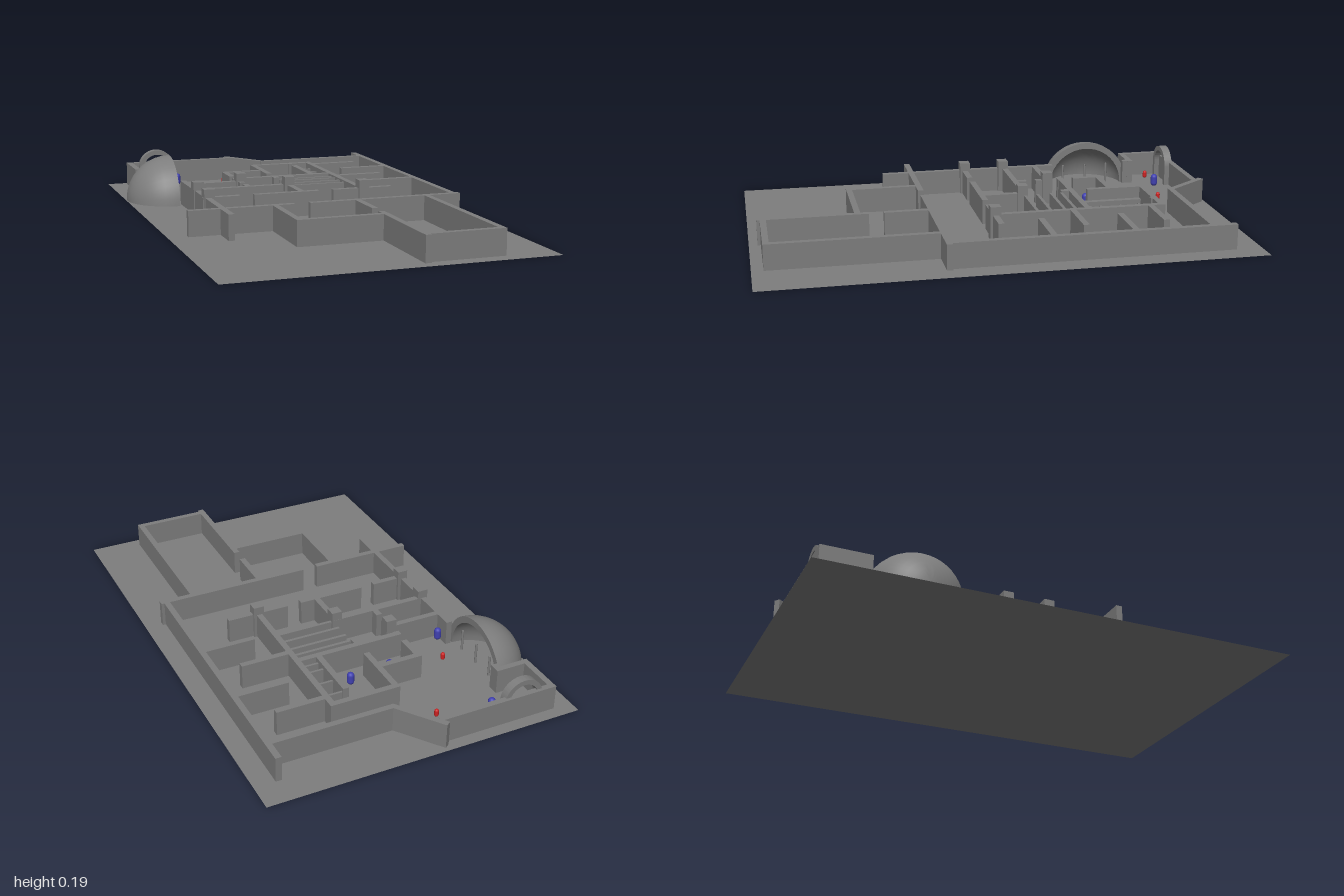
import * as THREE from 'three';
import { toCreasedNormals } from 'three/addons/utils/BufferGeometryUtils.js';

const GREY = new THREE.MeshStandardMaterial({ color: 0x7d7d7d });
const GREY_DOUBLE = new THREE.MeshStandardMaterial({ color: 0x7d7d7d, side: THREE.DoubleSide });
const WHITE = new THREE.MeshStandardMaterial({ color: 0xf0f0f0 });
const RED = new THREE.MeshStandardMaterial({ color: 0xcc2222 });
const BLUE = new THREE.MeshStandardMaterial({ color: 0x4040b0 });
const BASE = 0.003, WALL_H = 0.107, T = 0.025;

// Walls along x: [z, x start, x end]
const WALLS_X = [
  [-0.94, -0.573, -0.07], [-0.76, -0.573, -0.425], [-0.795, 0.04, 0.557],
  [-0.685, -0.037, 0.257], [-0.635, 0.245, 0.457], [-0.48, 0.335, 0.557],
  [-0.305, 0.245, 0.457], [-0.15, 0.335, 0.557], [-0.54, -0.215, -0.025],
  [-0.37, -0.215, 0.245], [-0.305, -0.435, -0.2], [-0.165, -0.435, -0.025],
  [0.02, -0.455, -0.295], [0.02, -0.235, 0.05], [0.02, 0.112, 0.377],
  [0.262, -0.577, -0.14], [0.262, -0.075, 0.583], [0.562, -0.232, 0.13], [0.94, 0.13, 0.446],
];
// Walls along z: [x, z start, z end]
const WALLS_Z = [
  [-0.561, -0.952, -0.748], [-0.438, -0.772, -0.725], [-0.435, -0.39, 0.39],
  [0.558, -0.89, 0.272], [-0.025, -0.697, -0.44], [-0.025, -0.38, -0.325],
  [-0.025, -0.178, 0.02], [0.245, -0.697, 0.02], [-0.203, -0.55, -0.425],
  [-0.203, -0.38, -0.355], [-0.203, -0.3, -0.255], [-0.203, -0.215, -0.165],
  [0.155, -0.62, -0.37], [0.155, -0.685, -0.665],
  [-0.221, 0.262, 0.574], [0.13, 0.262, 0.455], [0.13, 0.517, 0.965], [0.434, 0.262, 0.952],
];

function add(group, name, geometry, x, y, z, material = GREY) {
  const mesh = new THREE.Mesh(geometry, material);
  mesh.name = name;
  mesh.position.set(x, y, z);
  group.add(mesh);
  return mesh;
}

// Box just above the ground sheet, with its top at height h
function block(group, name, x, z, w, h, d) {
  return add(group, name, new THREE.BoxGeometry(w, h - BASE, d), x, (h + BASE) / 2, z);
}

function arcPoints(r, from, to, n) {
  return Array.from({ length: n + 1 }, (_, i) => {
    const a = from + (to - from) * i / n;
    return new THREE.Vector2(r * Math.cos(a), r * Math.sin(a));
  });
}

export function createModel() {
  const model = new THREE.Group();
  model.name = 'floorPlan';
  const sheet = new THREE.PlaneGeometry(1.31, 2);
  sheet.rotateX(-Math.PI / 2);
  add(model, 'ground', sheet, 0, 0, 0, GREY_DOUBLE);

  // Walls
  const walls = new THREE.Group();
  walls.name = 'walls';
  model.add(walls);
  for (const [z, a, b] of WALLS_X) block(walls, 'wall', (a + b) / 2, z, b - a, WALL_H, T);
  for (const [x, a, b] of WALLS_Z) block(walls, 'wall', x, (a + b) / 2, T, WALL_H, b - a);
  block(walls, 'diagonalWall', -0.018, -0.885, 0.228, WALL_H, T).rotation.y = -Math.atan2(0.17, 0.122);

  // Thin partitions in the middle hall and its side bays
  for (const z of [-0.325, -0.28, -0.22, -0.165])
    block(walls, 'hallPartition', 0.11, z, 0.25, 0.1, 0.013);
  for (const z of [-0.61, -0.53, -0.445, -0.4])
    block(walls, 'bayPartition', 0.2, z, 0.07, 0.09, 0.01);

  // Square columns
  for (const [x, z] of [[-0.43, -0.155], [-0.43, 0.02], [-0.027, -0.155], [-0.2, -0.305], [0.247, 0.02]])
    block(model, 'column', x, z, 0.044, 0.142, 0.044);

  // Half dome shell, open toward +x
  const R = 0.195, r = 0.168;
  const profile = [...arcPoints(R, 0, Math.PI / 2, 10), ...arcPoints(r, Math.PI / 2, 0, 10), new THREE.Vector2(R, 0)];
  const domeGeometry = new THREE.LatheGeometry(profile, 20, 0, Math.PI);
  domeGeometry.rotateZ(Math.PI / 2);
  add(model, 'halfDome', toCreasedNormals(domeGeometry, 0.6), -0.456, 0, -0.554, GREY_DOUBLE);
  for (const z of [-0.45, -0.555, -0.655])
    add(model, 'domePost', new THREE.CylinderGeometry(0.005, 0.005, 0.09, 8), -0.465, 0.047, z);

  // Round-topped arch against the back wall
  const arch = new THREE.Shape();
  arch.moveTo(0.083, BASE).lineTo(0.083, 0.083);
  arch.absarc(0, 0.083, 0.083, 0, Math.PI, false);
  arch.lineTo(-0.083, BASE).lineTo(-0.062, BASE).lineTo(-0.062, 0.083);
  arch.absarc(0, 0.083, 0.062, Math.PI, 0, true);
  arch.lineTo(0.062, BASE);
  const archGeometry = new THREE.ExtrudeGeometry(arch, { depth: 0.034, bevelEnabled: false, curveSegments: 20 });
  add(model, 'arch', toCreasedNormals(archGeometry, 0.6), -0.437, 0, -0.939);

  // Upright blue and red markers
  for (const [x, z] of [[-0.352, -0.855], [-0.12, -0.462], [0.06, -0.473], [-0.411, -0.343]])
    add(model, 'blueMarker', new THREE.CapsuleGeometry(0.015, 0.025, 6, 16), x, 0.031, z, BLUE);
  for (const [x, z] of [[-0.49, -0.856], [-0.14, -0.802], [-0.355, -0.482], [-0.355, -0.223]])
    add(model, 'redMarker', new THREE.CapsuleGeometry(0.009, 0.016, 5, 12), x, 0.02, z, RED);

  // Little white spiky ornament by the diagonal wall
  const ornament = new THREE.Group();
  ornament.name = 'ornament';
  ornament.position.set(-0.024, 0.015, -0.855);
  for (let i = 0; i < 5; i++) {
    const spike = new THREE.ConeGeometry(0.006, 0.035, 6);
    spike.translate(0, 0.0175, 0).rotateZ(-1.2).rotateY(i * Math.PI * 0.4);
    add(ornament, 'spike', spike, 0, 0, 0, WHITE);
  }
  model.add(ornament);
  return model;
}
